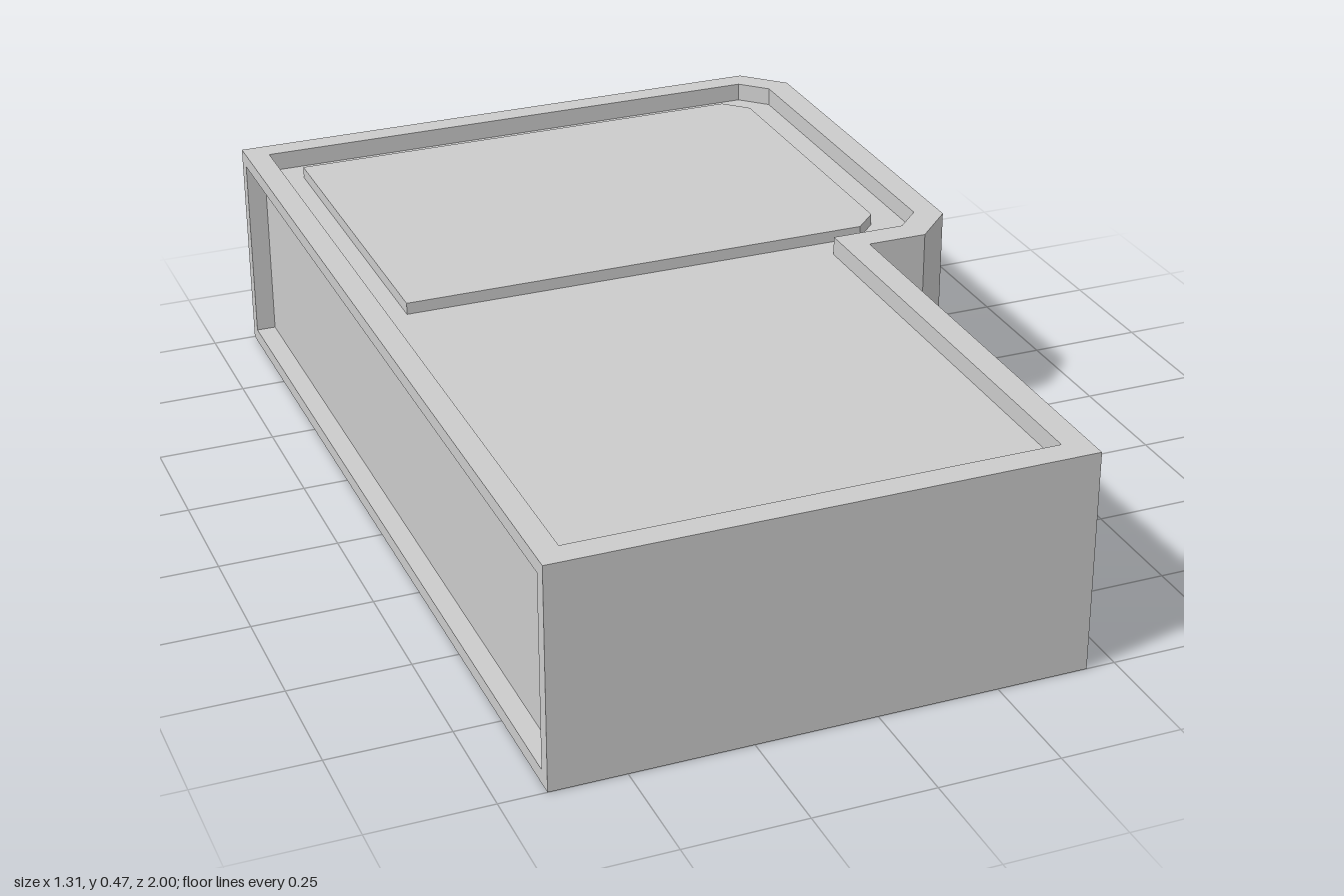
import * as THREE from 'three';
import { mergeGeometries } from 'three/addons/utils/BufferGeometryUtils.js';

const vec = (pts) => pts.map(([u, v]) => new THREE.Vector2(u, v));

// Counter-clockwise rectangle
const rect = (u0, u1, v0, v1) => [[u0, v0], [u1, v0], [u1, v1], [u0, v1]];

// Walls between two matching outlines at depths w0 and w1; counter-clockwise faces outward
function loft(a, w0, b, w1, closed = true) {
  const pos = [];
  const n = a.length;
  for (let i = 0; i < (closed ? n : n - 1); i++) {
    const j = (i + 1) % n;
    const p = [...a[i], w0], q = [...a[j], w0], r = [...b[j], w1], s = [...b[i], w1];
    pos.push(...p, ...q, ...r, ...p, ...r, ...s);
  }
  const g = new THREE.BufferGeometry();
  g.setAttribute('position', new THREE.Float32BufferAttribute(pos, 3));
  g.computeVertexNormals();
  return g;
}

// Straight walls, facing out of a solid or into a recess
const wall = (pts, w0, w1, closed) => loft(pts, w0, pts, w1, closed);
const recessWall = (pts, w0, w1) => wall([...pts].reverse(), w0, w1);

// Flat face at depth w, optionally with a hole, optionally facing downward
function cap(pts, w, hole = null, down = false) {
  const shape = new THREE.Shape(vec(pts));
  if (hole) shape.holes.push(new THREE.Path(vec(hole)));
  const indexed = new THREE.ShapeGeometry(shape);
  if (down) indexed.index.array.reverse();
  const g = indexed.toNonIndexed();
  g.deleteAttribute('uv');
  g.translate(0, 0, w);
  g.computeVertexNormals();
  return g;
}

export function createModel() {
  const model = new THREE.Group();
  model.name = 'device';
  const material = new THREE.MeshStandardMaterial({ color: 0xcccccc, flatShading: true });
  const add = (name, parts) => {
    const mesh = new THREE.Mesh(mergeGeometries(parts), material);
    mesh.name = name;
    model.add(mesh);
    return mesh;
  };

  const H = 0.47, X = 0.655;
  const topFloor = 0.43, panelTop = 0.455, bottomCeiling = 0.08;

  // Plan outlines (u = x, v = -z)
  const outline = [[-X, -1], [0.44, -1], [0.44, 0], [0.57, 0], [X, 0.085], [X, 0.915], [0.57, 1], [-X, 1]];
  const topRecess = [[-0.605, -0.945], [0.385, -0.945], [0.385, 0.06], [0.545, 0.06],
    [0.6, 0.115], [0.6, 0.895], [0.545, 0.95], [-0.605, 0.95]];
  const panel = [[-0.545, 0.12], [0.475, 0.12], [0.525, 0.17], [0.525, 0.835], [0.475, 0.885], [-0.545, 0.885]];
  const bottomRecess = rect(-0.52, 0.285, 0.02, 0.845);

  // Casing with rim, sunken top and bottom recess; the -x side stays open for the side panel
  add('casing', [
    wall(outline, 0, H, false),
    cap(outline, H, topRecess),
    recessWall(topRecess, topFloor, H),
    cap(topRecess, topFloor, panel),
    cap(outline, 0, bottomRecess, true),
    recessWall(bottomRecess, 0, bottomCeiling),
    cap(bottomRecess, bottomCeiling, null, true),
  ]).rotation.x = -Math.PI / 2;

  // Raised panel in the sunken top
  add('raisedPanel', [wall(panel, topFloor, panelTop), cap(panel, panelTop)]).rotation.x = -Math.PI / 2;

  // Framed, recessed side (u = z, v = y, depth = -x)
  const side = rect(-1, 1, 0, H), sideRecess = rect(-0.97, 0.97, 0.03, H - 0.03);
  add('recessedSide', [
    cap(side, X, sideRecess),
    recessWall(sideRecess, X - 0.042, X),
    cap(sideRecess, X - 0.042),
  ]).rotation.y = -Math.PI / 2;

  // Bevelled buttons on the +x side (u = -z, v = y, depth = x)
  [0.3, 0.692].forEach((z, i) => {
    const base = rect(-z - 0.098, -z + 0.098, 0.13, 0.343);
    const face = rect(-z - 0.073, -z + 0.073, 0.155, 0.318);
    add('button' + (i + 1), [
      wall(base, 0.44, 0.47),
      loft(base, 0.47, face, 0.502),
      cap(face, 0.502),
    ]).rotation.y = Math.PI / 2;
  });

  return model;
}
